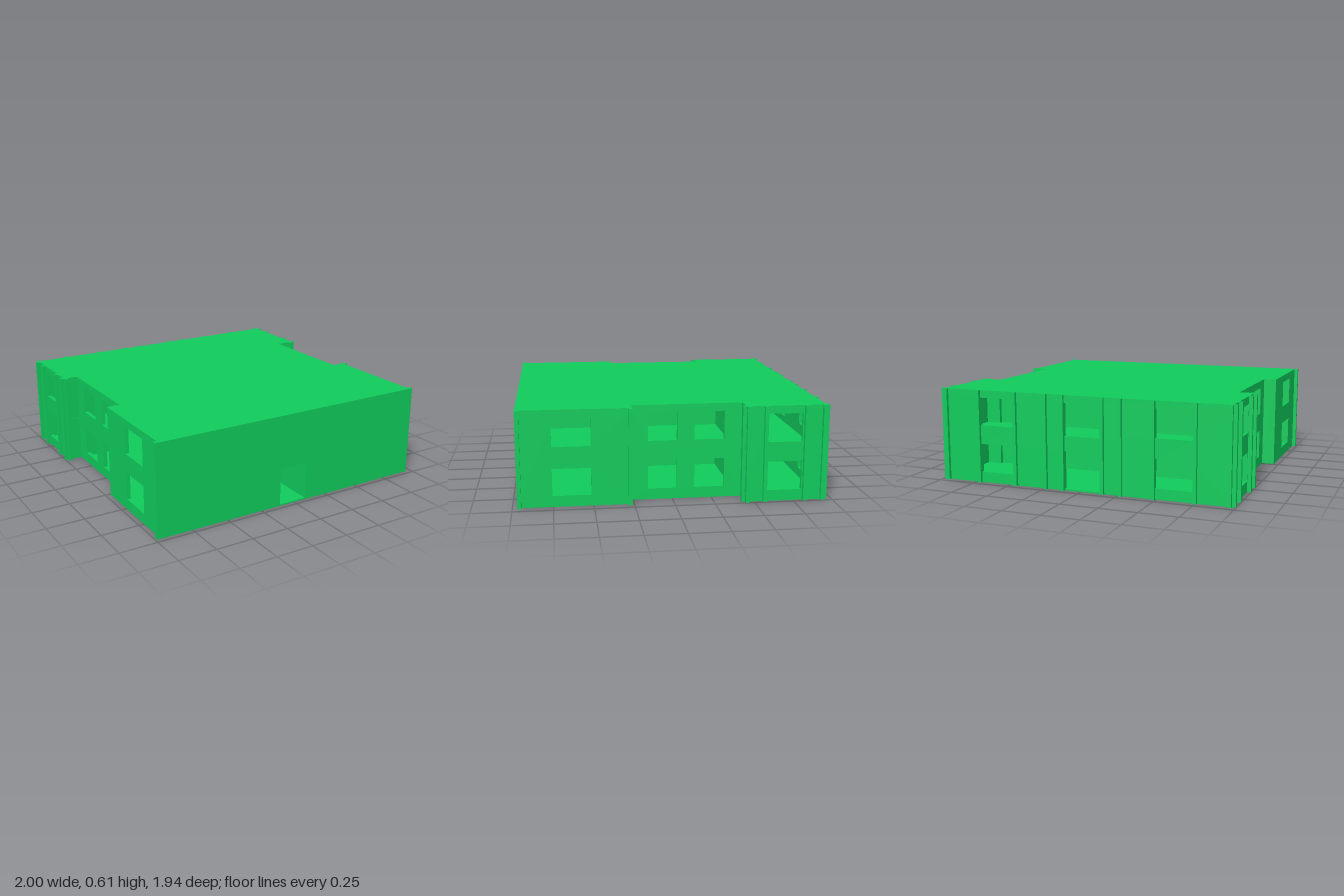
import * as THREE from 'three';

export function createModel() {
  const model = new THREE.Group();
  model.name = 'building';
  const material = new THREE.MeshStandardMaterial({ color: 0x10cc5c });
  const T = 0.025, SLAB = 0.01, H = 0.61, DOOR = 0.255;

  const add = (name, geometry, parent = model) => {
    const mesh = new THREE.Mesh(geometry, material);
    mesh.name = name;
    parent.add(mesh);
    return mesh;
  };
  const box = (name, x0, x1, y0, y1, z0, z1) =>
    add(name, new THREE.BoxGeometry(x1 - x0, y1 - y0, z1 - z0))
      .position.set((x0 + x1) / 2, (y0 + y1) / 2, (z0 + z1) / 2);

  // Wall between two plan points, outer face on the line, thickness inward.
  // Openings are [from, to, bottom, top] along the wall's world axis; bottom 0 makes a doorway.
  function wall(name, [x0, z0], [x1, z1], openings = []) {
    const length = Math.hypot(x1 - x0, z1 - z0);
    const start = Math.abs(x1 - x0) > 0.001 ? x0 : z0;
    const holes = [], doors = [];
    for (const [a, b, v0, v1] of openings) {
      const u = [Math.abs(a - start), Math.abs(b - start)].sort((p, q) => p - q);
      (v0 === 0 ? doors : holes).push([...u, v0, v1]);
    }
    const shape = new THREE.Shape().moveTo(0, SLAB);
    for (const [u0, u1, , v1] of doors) {
      shape.lineTo(u0, SLAB).lineTo(u0, v1).lineTo(u1, v1).lineTo(u1, SLAB);
    }
    shape.lineTo(length, SLAB).lineTo(length, H - SLAB).lineTo(0, H - SLAB).closePath();
    for (const [u0, u1, v0, v1] of holes) {
      shape.holes.push(new THREE.Path().moveTo(u0, v0).lineTo(u0, v1).lineTo(u1, v1).lineTo(u1, v0).closePath());
    }
    const geometry = new THREE.ExtrudeGeometry(shape, { depth: T, bevelEnabled: false });
    geometry.translate(0, 0, -T);
    const mesh = add(name, geometry);
    mesh.position.set(x0, 0, z0);
    mesh.rotation.y = Math.atan2(-(z1 - z0), x1 - x0);
  }

  // Plan outline, from the front right-hand side round to the back
  const plan = [
    [-0.965, 0.97], [0.935, 0.97], [0.935, 0.26], [0.85, 0.26], [0.85, -0.44], [0.975, -0.44],
    [0.975, -0.95], [-0.975, -0.95], [-0.975, -0.44], [-0.88, -0.44], [-0.88, 0.26], [-0.965, 0.26],
  ];

  // Windows repeat on both storeys
  const pair = (a, b) => [[a, b, 0.07, DOOR], [a, b, 0.38, 0.56]];
  const frontRoom = pair(0.515, 0.755);
  const middleRooms = [...pair(-0.33, -0.14), ...pair(-0.03, 0.155)];
  const backRoom = pair(-0.8, -0.58);
  const openings = {
    0: [[-0.11, 0.085, 0, DOOR]],
    1: frontRoom, 3: middleRooms, 5: backRoom,
    6: [...pair(0.47, 0.71), ...pair(-0.735, -0.495), [-0.14, 0.11, 0, DOOR], [-0.14, 0.11, 0.35, 0.56]],
    7: backRoom, 9: middleRooms, 11: frontRoom,
  };
  const wallNames = ['frontWall', 'frontBlockSideWall', 'frontBlockReturn', 'middleSideWall', 'backBlockReturn',
    'backBlockSideWall', 'backWall', 'backBlockSideWall', 'backBlockReturn', 'middleSideWall',
    'frontBlockReturn', 'frontBlockSideWall'];
  plan.forEach((p, i) => wall(wallNames[i], p, plan[(i + 1) % plan.length], openings[i]));

  // Ground floor, upper floor and flat roof
  function slab(name, top, scale = 1) {
    const shape = new THREE.Shape(plan.map(([x, z]) => new THREE.Vector2(x * scale, z * scale)));
    const geometry = new THREE.ExtrudeGeometry(shape, { depth: SLAB, bevelEnabled: false });
    geometry.rotateX(Math.PI / 2).translate(0, top, 0);
    add(name, geometry);
  }
  slab('groundFloor', SLAB);
  slab('upperFloor', 0.305, 0.993);
  slab('roof', H);

  // Pilasters of the back block
  const half = 0.0115;
  for (const x of [-0.965, -0.75, -0.485, -0.27, -0.15, 0.12, 0.24, 0.455, 0.72, 0.96]) {
    box('backPilaster', x - half, x + half, 0, H, -0.97, -0.95);
  }
  for (const z of [-0.935, -0.82, -0.565, -0.455]) {
    box('rightPilaster', 0.975, 1, 0, H, z - half, z + half);
    box('leftPilaster', -1, -0.975, 0, H, z - half, z + half);
  }
  for (const x of [-0.965, 0.96]) box('returnPilaster', x - half, x + half, 0, H, -0.44, -0.42);

  // Corner pilasters of the front block
  box('frontCornerPilaster', 0.935, 0.96, 0, H, 0.945, 0.97);
  box('frontCornerPilaster', -0.99, -0.965, 0, H, 0.945, 0.97);
  box('frontBlockRearPilaster', 0.935, 0.96, 0, H, 0.26, 0.285);

  // Corridor walls running back from the entrance
  box('corridorWall', -0.135, -0.11, SLAB, H - SLAB, -0.44, 0.96);
  box('corridorWall', 0.085, 0.11, SLAB, H - SLAB, -0.44, 0.96);

  // Partition in front of the back block, open at the corridor
  box('partition', -0.88, -0.135, SLAB, H - SLAB, -0.44, -0.415);
  box('partition', 0.11, 0.85, SLAB, H - SLAB, -0.44, -0.415);

  return model;
}
